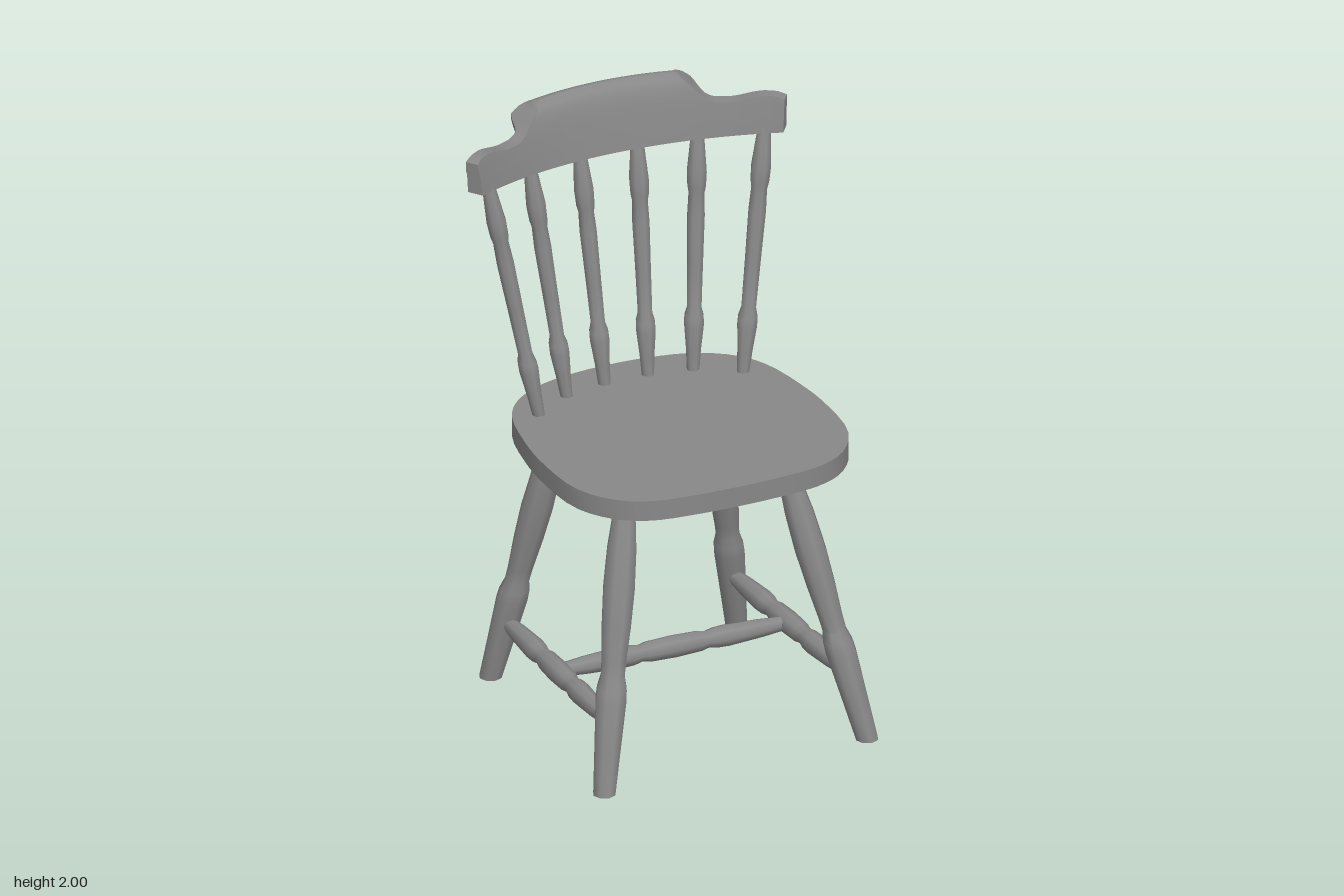
import * as THREE from 'three';
import { toCreasedNormals } from 'three/addons/utils/BufferGeometryUtils.js';

const material = new THREE.MeshStandardMaterial({ color: 0x888888 });
const V = (x, y, z) => new THREE.Vector3(x, y, z);

function add(parent, name, geometry) {
  const mesh = new THREE.Mesh(toCreasedNormals(geometry, 0.9), material);
  mesh.name = name;
  parent.add(mesh);
}

// Turned profile as [fraction of length, radius] pairs, closed at both ends
function turned(profile, length) {
  const pts = profile.map(([t, r]) => new THREE.Vector2(r, t * length));
  return new THREE.LatheGeometry(
    [new THREE.Vector2(0, 0), ...pts, new THREE.Vector2(0, length)], 8);
}

// Leaning post with level ends: upright turning sheared from a to b
function post(profile, a, b) {
  const h = b.y - a.y;
  const shear = new THREE.Matrix4().set(
    1, (b.x - a.x) / h, 0, a.x,
    0, 1, 0, a.y,
    0, (b.z - a.z) / h, 1, a.z,
    0, 0, 0, 1);
  return turned(profile, h).applyMatrix4(shear);
}

// Rod with square-cut ends running from a to b
function rod(profile, a, b) {
  const dir = b.clone().sub(a);
  const g = turned(profile, dir.length());
  g.applyQuaternion(new THREE.Quaternion().setFromUnitVectors(V(0, 1, 0), dir.normalize()));
  return g.translate(a.x, a.y, a.z);
}

const LEG = [[0, 0.038], [0.15, 0.045], [0.31, 0.053], [0.345, 0.051], [0.385, 0.041], [0.43, 0.042],
  [0.55, 0.05], [0.67, 0.054], [0.8, 0.05], [0.92, 0.038], [1, 0.028]];
const SPINDLE = [[0, 0.021], [0.1, 0.026], [0.2, 0.034], [0.235, 0.033], [0.27, 0.025], [0.45, 0.027],
  [0.66, 0.03], [0.75, 0.027], [0.78, 0.032], [0.84, 0.034], [0.92, 0.028], [1, 0.022]];
const STRETCHER = [[0, 0.022], [0.12, 0.031], [0.27, 0.037], [0.32, 0.035], [0.355, 0.029], [0.39, 0.035],
  [0.5, 0.038], [0.61, 0.035], [0.645, 0.029], [0.68, 0.035], [0.73, 0.037], [0.88, 0.031], [1, 0.022]];

// Seat slab from a mirrored half outline of [x, z]
function seatGeometry() {
  const half = [[0.15, 0.545], [0.3, 0.525], [0.4, 0.47], [0.482, 0.345], [0.503, 0.13], [0.492, -0.02],
    [0.452, -0.21], [0.39, -0.308], [0.28, -0.381], [0.14, -0.415]];
  const outline = [[0, 0.55], ...half, [0, -0.424], ...half.map(([x, z]) => [-x, z]).reverse()];
  const curve = new THREE.CatmullRomCurve3(outline.map(([x, z]) => V(x, -z, 0)), true);
  const shape = new THREE.Shape(curve.getPoints(72).slice(0, -1).map((p) => new THREE.Vector2(p.x, p.y)));
  return new THREE.ExtrudeGeometry(shape, { depth: 0.07, bevelEnabled: false })
    .rotateX(-Math.PI / 2).translate(0, 0.95, 0);
}

// Crest rail faces as [height, depth behind the front edge]
const RAIL_FRONT = [[1.778, 0], [1.85, 0.012], [1.91, 0.024], [1.955, 0.035], [1.985, 0.049], [2, 0.074]];
const RAIL_BACK = [[1.778, 0.06], [1.88, 0.066], [1.895, 0.09], [1.906, 0.115], [1.925, 0.131],
  [1.95, 0.135], [1.98, 0.122], [1.994, 0.104], [2, 0.086]];
function depthAt(face, y) {
  const i = Math.max(1, face.findIndex(([h]) => h >= y - 1e-6));
  const [[h0, d0], [h1, d1]] = [face[i - 1], face[i]];
  return THREE.MathUtils.mapLinear(y, h0, h1, d0, d1);
}

// Crest rail: curved loft whose rolled top is carved away toward both ends
function crestGeometry() {
  const R = 0.911, centreZ = 0.491, maxAngle = 0.621, steps = 96;
  const rows = [0, 0.3, 0.42, 0.47, 0.5, 0.54, 0.6, 0.68, 0.76, 0.86, 0.94, 1];
  const step = THREE.MathUtils.smoothstep;
  const n = rows.length * 2, pos = [], index = [];
  for (let s = 0; s <= steps; s++) {
    const a = maxAngle * (2 * s / steps - 1);
    const x = Math.abs((R + 0.035) * Math.sin(a));
    const top = 2 - 0.093 * step(x, 0.22, 0.36) + 0.024 * step(x, 0.39, 0.5) - 0.015 * step(x, 0.52, 0.57);
    const bottom = 1.778 + 0.037 * (a / maxAngle) ** 2;
    const roll = 1 - step(x, 0.285, 0.325);
    const put = (face, f) => {
      const y = THREE.MathUtils.lerp(bottom, top, f);
      const d = depthAt(face, y);
      const r = R + THREE.MathUtils.lerp(Math.min(d, 0.07), d, roll);
      pos.push(r * Math.sin(a), y, centreZ - r * Math.cos(a));
    };
    rows.forEach((f) => put(RAIL_FRONT, f));
    [...rows].reverse().forEach((f) => put(RAIL_BACK, f));
  }
  for (let s = 0; s < steps; s++) {
    for (let i = 0; i < n; i++) {
      const j = (i + 1) % n, p = s * n, q = p + n;
      index.push(p + i, q + i, q + j, p + i, q + j, p + j);
    }
  }
  // End faces
  const e = steps * n;
  for (let i = 1; i < n - 1; i++) index.push(0, i, i + 1, e, e + i + 1, e + i);
  const g = new THREE.BufferGeometry();
  g.setAttribute('position', new THREE.Float32BufferAttribute(pos, 3));
  g.setIndex(index);
  return g;
}

export function createModel() {
  const chair = new THREE.Group();
  chair.name = 'chair';
  add(chair, 'seat', seatGeometry());
  add(chair, 'crestRail', crestGeometry());

  // Spindle ends at the seat and inside the rail
  const spindles = [
    [V(0.077, 1.01, -0.308), V(0.102, 1.795, -0.442)],
    [V(0.224, 1.01, -0.28), V(0.298, 1.8, -0.402)],
    [V(0.362, 1.01, -0.197), V(0.492, 1.825, -0.308)],
  ];
  for (const [label, m] of [['left', 1], ['right', -1]]) {
    const side = V(m, 1, 1);
    add(chair, label + 'FrontLeg', post(LEG, V(m * 0.467, 0, 0.516), V(m * 0.277, 0.955, 0.278)));
    add(chair, label + 'RearLeg', post(LEG, V(m * 0.437, 0, -0.405), V(m * 0.274, 0.955, -0.228)));
    add(chair, label + 'Stretcher', rod(STRETCHER, V(m * 0.422, 0.226, 0.45), V(m * 0.4, 0.208, -0.36)));
    spindles.forEach(([a, b], i) => add(chair, label + 'Spindle' + (i + 1),
      post(SPINDLE, a.clone().multiply(side), b.clone().multiply(side))));
  }
  add(chair, 'crossStretcher', rod(STRETCHER, V(-0.41, 0.217, 0.045), V(0.41, 0.217, 0.045)));
  return chair;
}
